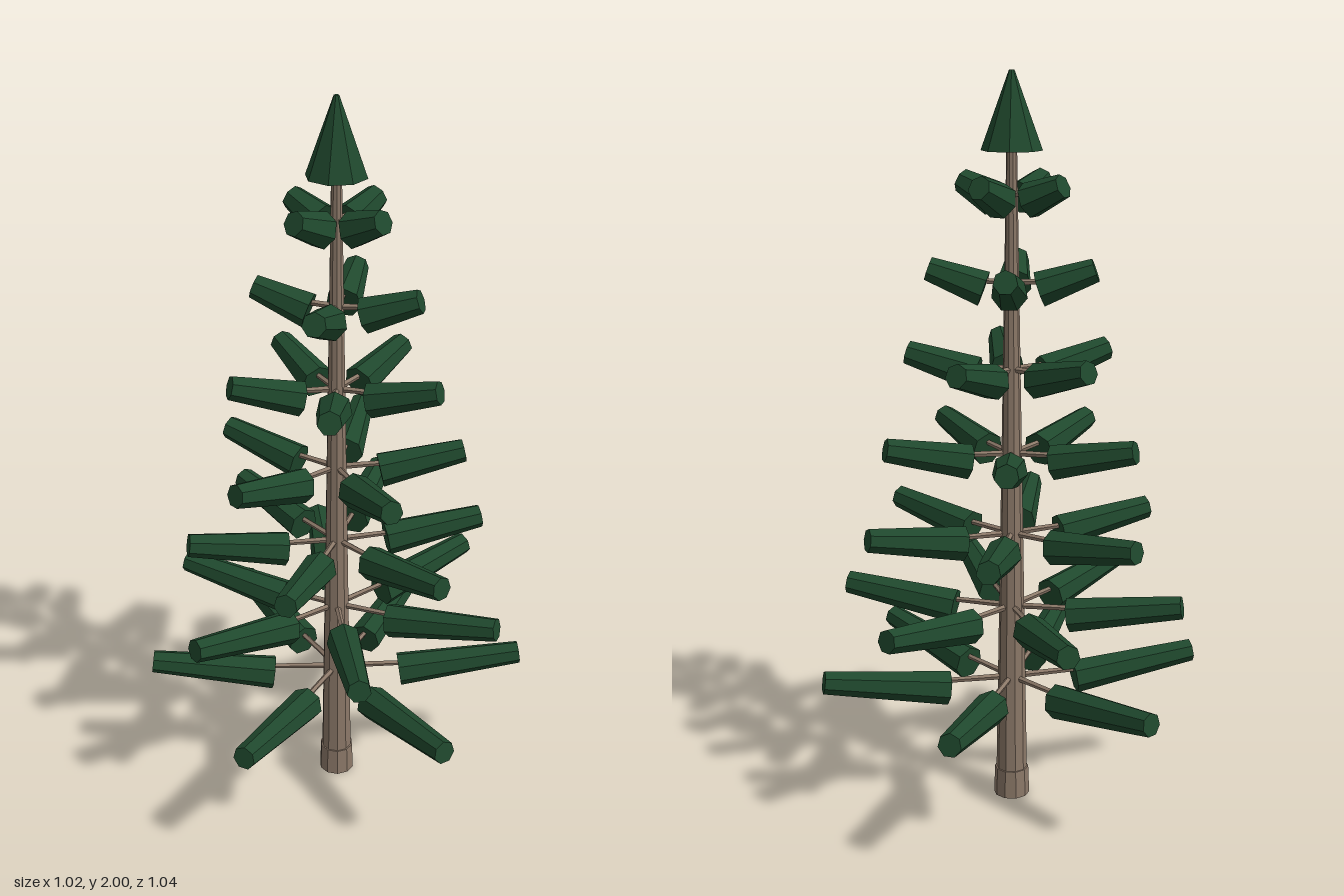
import * as THREE from 'three';

const bark = new THREE.MeshStandardMaterial({ color: 0x8b7868, flatShading: true });
bark.name = 'bark';
const needles = new THREE.MeshStandardMaterial({ color: 0x1f482d, flatShading: true });
needles.name = 'needles';

// Whorls from bottom to top: twig height, branch count, first angle (degrees),
// foliage start (radius, height) and foliage tip (radius, height)
const whorls = [
  { y: 0.355, count: 6, angle: 43, start: [0.18, 0.337], tip: [0.524, 0.385] },
  { y: 0.565, count: 6, angle: 8.5, start: [0.16, 0.55], tip: [0.47, 0.597] },
  { y: 0.775, count: 6, angle: 34, start: [0.14, 0.762], tip: [0.408, 0.803] },
  { y: 1.0, count: 5, angle: 52, start: [0.118, 0.985], tip: [0.345, 1.033] },
  { y: 1.23, count: 5, angle: 7, start: [0.095, 1.213], tip: [0.284, 1.265] },
  { y: 1.46, count: 4, angle: 0, start: [0.073, 1.443], tip: [0.219, 1.495] },
  { y: 1.69, count: 4, angle: 28, start: [0.052, 1.675], tip: [0.153, 1.717] },
];

// Tapered cylinder between two points in the local XY plane, with a ridge on top
function limb(name, a, b, rA, rB, sides, material) {
  const dx = b[0] - a[0], dy = b[1] - a[1];
  const geometry = new THREE.CylinderGeometry(
    rB, rA, Math.hypot(dx, dy), sides, 1, false, -Math.PI / 2);
  const mesh = new THREE.Mesh(geometry, material);
  mesh.name = name;
  mesh.position.set((a[0] + b[0]) / 2, (a[1] + b[1]) / 2, 0);
  mesh.rotation.z = Math.atan2(dy, dx) - Math.PI / 2;
  return mesh;
}

export function createModel() {
  const tree = new THREE.Group();
  tree.name = 'firTree';

  // Trunk with a slightly wider foot
  tree.add(limb('trunk', [0, 0.02], [0, 1.86], 0.044, 0.013, 10, bark));
  tree.add(limb('trunkFoot', [0, 0], [0, 0.08], 0.05, 0.047, 10, bark));

  // Branches: a thin twig carrying a tapered clump of needles
  whorls.forEach((w, level) => {
    const whorl = new THREE.Group();
    whorl.name = `whorl${level + 1}`;
    const middle = [(w.start[0] + w.tip[0]) / 2, (w.start[1] + w.tip[1]) / 2];
    for (let i = 0; i < w.count; i++) {
      const branch = new THREE.Group();
      branch.name = 'branch';
      branch.rotation.y = -THREE.MathUtils.degToRad(w.angle + (i * 360) / w.count);
      branch.add(limb('twig', [0, w.y], middle, 0.009, 0.006, 5, bark));
      branch.add(limb('foliage', w.start, w.tip, 0.048, 0.032, 7, needles));
      whorl.add(branch);
    }
    tree.add(whorl);
  });

  // Pointed crown
  tree.add(limb('crown', [0, 1.8], [0, 2], 0.08, 0.007, 8, needles));
  return tree;
}
